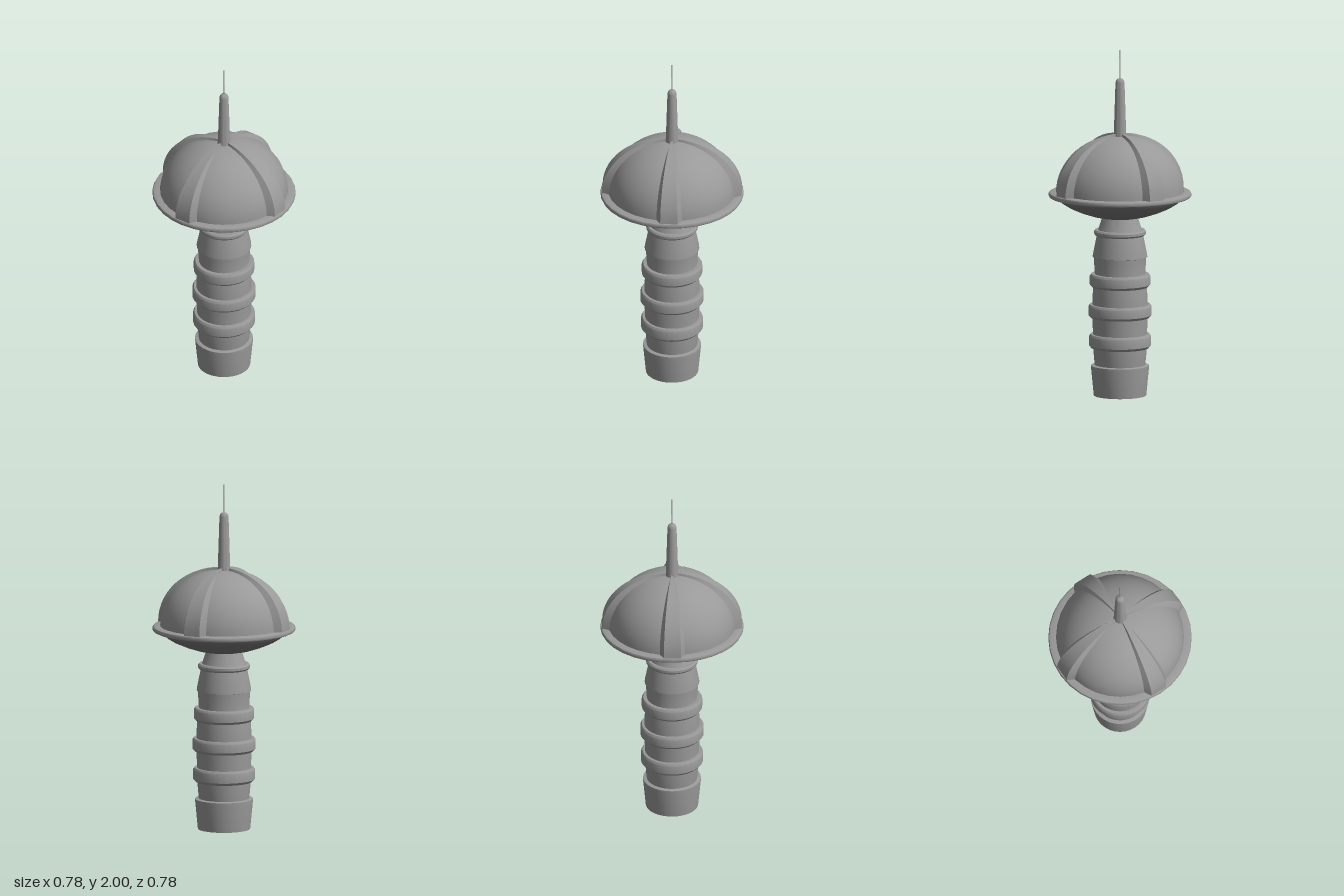
import * as THREE from 'three';
import { toCreasedNormals } from 'three/addons/utils/BufferGeometryUtils.js';

const SIDES = 32;
const grey = new THREE.MeshStandardMaterial({ color: 0x999999, side: THREE.DoubleSide });
const darkGrey = new THREE.MeshStandardMaterial({ color: 0x777777, side: THREE.DoubleSide });

function addMesh(parent, name, geometry, material = grey) {
  const mesh = new THREE.Mesh(toCreasedNormals(geometry, 0.6), material);
  mesh.name = name;
  parent.add(mesh);
  return mesh;
}

// Turned part from [radius, height] pairs, listed bottom to top
function turned(parent, name, profile, sides = SIDES, material = grey) {
  const points = profile.map(([r, y]) => new THREE.Vector2(r, y));
  const geometry = new THREE.LatheGeometry(points, sides);
  geometry.rotateY(Math.PI / sides);
  return addMesh(parent, name, geometry, material);
}

// Quarter ellipse running from the equator up towards the pole
function quarterArc(radius, height, base, steps, end = Math.PI / 2) {
  return Array.from({ length: steps + 1 }, (_, i) => {
    const a = (i / steps) * end;
    return [radius * Math.cos(a), base + height * Math.sin(a)];
  });
}

// Raised rib with a trapezoid section that narrows towards the pole
function ribGeometry() {
  const steps = 14, end = 1.5;
  const inner = quarterArc(0.342, 0.304, 1.128, steps, end);
  const outer = quarterArc(0.383, 0.325, 1.128, steps, end);
  const positions = [], index = [];
  for (let i = 0; i <= steps; i++) {
    const [ri, yi] = inner[i], [ro, yo] = outer[i];
    const wi = ri * 0.2 + 0.002, wo = ro * 0.118 + 0.002;
    positions.push(ri, yi, wi, ro, yo, wo, ro, yo, -wo, ri, yi, -wi);
  }
  for (let i = 0; i < steps; i++) {
    for (let k = 0; k < 4; k++) {
      const a = i * 4 + k, b = i * 4 + ((k + 1) % 4);
      index.push(a, b, b + 4, a, b + 4, a + 4);
    }
  }
  const t = steps * 4;
  index.push(0, 2, 1, 0, 3, 2, t, t + 1, t + 2, t, t + 2, t + 3);
  const geometry = new THREE.BufferGeometry();
  geometry.setAttribute('position', new THREE.Float32BufferAttribute(positions, 3));
  geometry.setIndex(index);
  geometry.computeVertexNormals();
  return geometry;
}

export function createModel() {
  const model = new THREE.Group();
  model.name = 'domedTower';

  // Hollow tower shaft, open at the foot
  const tower = new THREE.Group();
  tower.name = 'tower';
  model.add(tower);
  turned(tower, 'base', [[0.144, 0], [0.159, 0.155], [0.159, 0.167], [0.139, 0.171]]);
  turned(tower, 'shaft', [
    [0.139, 0.171], [0.148, 0.27], [0.148, 0.34], [0.152, 0.44], [0.152, 0.5],
    [0.148, 0.6], [0.138, 0.67], [0.144, 0.767],
  ]);
  turned(tower, 'upperShaft', [[0.144, 0.767], [0.15, 0.769], [0.149, 0.78], [0.126, 0.895]]);
  turned(tower, 'neck', [[0.125, 0.91], [0.118, 0.925], [0.095, 0.995]]);

  // Bevelled collars: [radius, bottom, top]
  for (const [r, low, high] of [[0.17, 0.264, 0.341], [0.174, 0.433, 0.506], [0.166, 0.602, 0.675]]) {
    turned(tower, 'collar', [
      [0.14, low], [r - 0.013, low], [r, low + 0.014], [r, high - 0.012],
      [r - 0.008, high], [0.135, high],
    ]);
  }
  turned(tower, 'topCollar', [
    [0.12, 0.888], [0.135, 0.888], [0.142, 0.897], [0.142, 0.911], [0.135, 0.92], [0.115, 0.92],
  ]);

  // Shallow darker bowl, rounded rim and dome
  const head = new THREE.Group();
  head.name = 'head';
  model.add(head);
  turned(head, 'bowl', [
    [0, 0.985], [0.1, 0.987], [0.16, 1.0], [0.22, 1.02], [0.28, 1.046],
    [0.32, 1.071], [0.345, 1.095], [0.348, 1.105],
  ], SIDES, darkGrey);
  turned(head, 'rim', [
    [0.34, 1.1], [0.38, 1.1], [0.389, 1.104], [0.393, 1.112], [0.393, 1.118],
    [0.389, 1.126], [0.38, 1.13], [0.34, 1.13],
  ]);
  turned(head, 'dome', quarterArc(0.351, 0.315, 1.125, 16));

  // Four ribs around the dome
  for (let i = 0; i < 4; i++) {
    const rib = addMesh(head, 'rib', ribGeometry());
    rib.rotation.y = THREE.MathUtils.degToRad(50 + 90 * i);
  }

  // Tapered spire with rounded tip and thin needle
  turned(model, 'spire', [
    [0.037, 1.43], [0.034, 1.455], [0.025, 1.735], [0.022, 1.747], [0.014, 1.756], [0, 1.76],
  ], 16);
  turned(model, 'needle', [[0.004, 1.755], [0, 2]], 8);

  return model;
}
